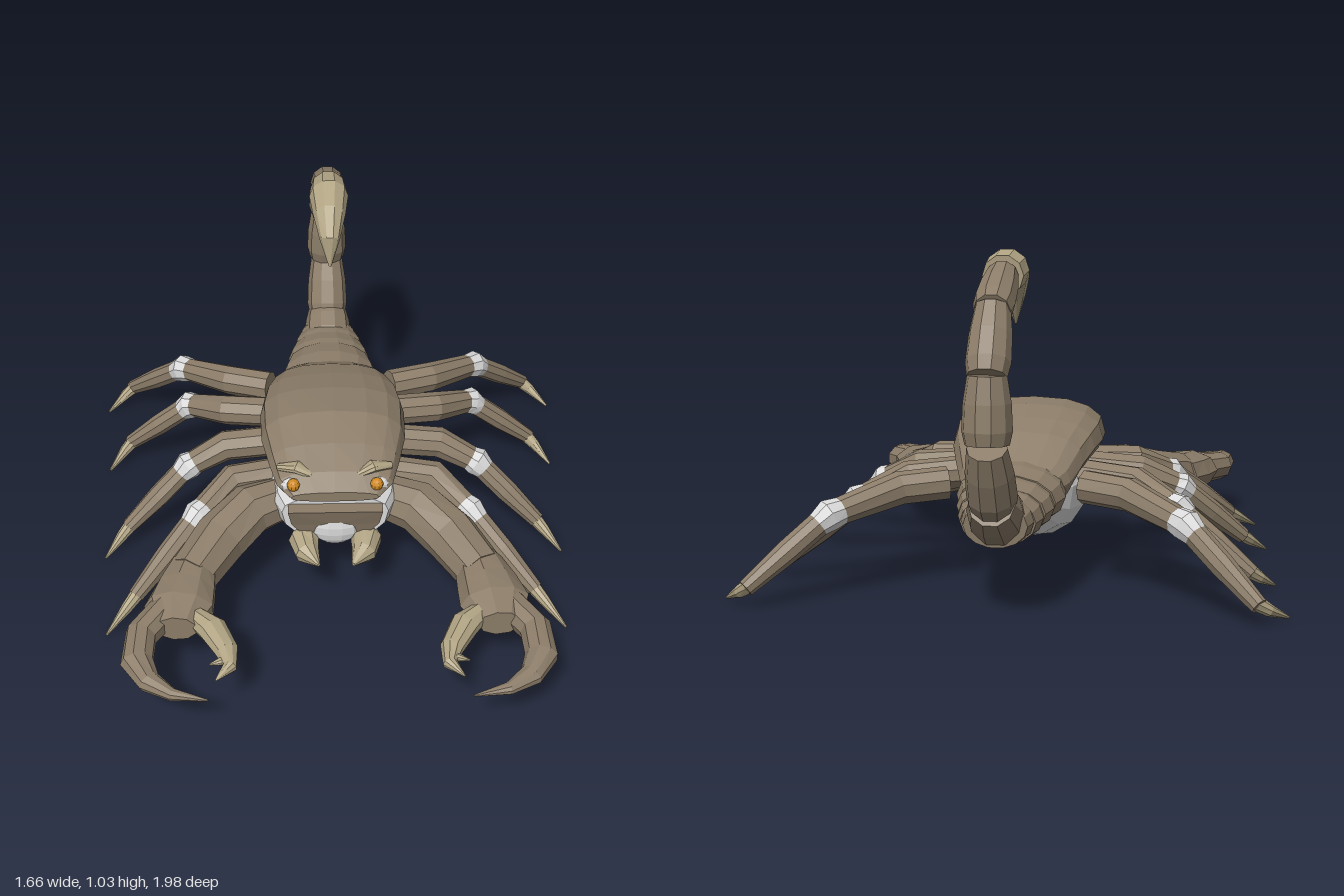
import * as THREE from 'three';

const V = (x, y, z) => new THREE.Vector3(x, y, z);
const material = (name, color) => {
  const m = new THREE.MeshStandardMaterial({ color, flatShading: true });
  m.name = name;
  return m;
};

// Skin matching rings of points, close both ends and face everything outwards
function loft(name, mat, rings) {
  const tris = [];
  const n = rings[0].length;
  for (let i = 0; i + 1 < rings.length; i++) {
    for (let j = 0; j < n; j++) {
      const k = (j + 1) % n;
      const [a, b, c, d] = [rings[i][j], rings[i][k], rings[i + 1][k], rings[i + 1][j]];
      tris.push([a, b, c], [a, c, d]);
    }
  }
  [rings[0], rings[rings.length - 1]].forEach((ring, end) => {
    const mid = ring.reduce((s, p) => s.add(p), V(0, 0, 0)).divideScalar(n);
    for (let j = 0; j < n; j++) {
      const k = (j + 1) % n;
      tris.push(end ? [mid, ring[j], ring[k]] : [mid, ring[k], ring[j]]);
    }
  });
  let volume = 0;
  for (const [a, b, c] of tris) volume += a.dot(b.clone().cross(c));
  if (volume < 0) tris.forEach((t) => t.reverse());
  const geo = new THREE.BufferGeometry().setFromPoints(tris.flat());
  geo.computeVertexNormals();
  const mesh = new THREE.Mesh(geo, mat);
  mesh.name = name;
  return mesh;
}

// Tapered limb along stations [x, y, z, half width, half height]
function limb(name, mat, stations, { sides = 9, sx = 1, upright = false } = {}) {
  const pts = stations.map((s) => V(s[0] * sx, s[1], s[2]));
  const rings = stations.map(([, , , w, h = w], i) => {
    const t = pts[Math.min(i + 1, pts.length - 1)].clone().sub(pts[Math.max(i - 1, 0)]).normalize();
    const side = upright ? V(1, 0, 0) : t.clone().cross(V(0, 1, 0)).normalize();
    const up = side.clone().cross(t);
    return Array.from({ length: sides }, (_, j) => {
      const a = (j / sides) * Math.PI * 2;
      return pts[i].clone().addScaledVector(side, Math.cos(a) * w).addScaledVector(up, Math.sin(a) * h);
    });
  });
  return loft(name, mat, rings);
}

// Rounded body from sections [z, half width, top, middle, bottom]
function hull(name, mat, sections, power, sides = 16) {
  const bend = (v) => Math.sign(v) * Math.pow(Math.abs(v), power);
  return loft(name, mat, sections.map(([z, w, top, mid, low]) =>
    Array.from({ length: sides }, (_, j) => {
      const a = (j / sides) * Math.PI * 2;
      const s = bend(Math.sin(a));
      return V(w * bend(Math.cos(a)), mid + s * (s > 0 ? top - mid : mid - low), z);
    })));
}

function ball(name, mat, pos, scale) {
  const mesh = new THREE.Mesh(new THREE.SphereGeometry(1, 10, 7), mat);
  mesh.name = name;
  mesh.position.set(...pos);
  mesh.scale.set(...scale);
  return mesh;
}

export function createModel() {
  const model = new THREE.Group();
  model.name = 'scorpion';
  const shell = material('brown shell', 0x8c7d69);
  const pale = material('pale grey skin', 0xdadada);
  const horn = material('tan horn', 0xb2a585);
  const amber = material('amber eye', 0xd08a22);

  // Back shell and belly
  model.add(hull('backShell', shell, [
    [0.315, 0.14, 0.39, 0.37, 0.355], [0.27, 0.185, 0.44, 0.39, 0.355], [0.18, 0.21, 0.485, 0.405, 0.35],
    [0.06, 0.235, 0.525, 0.41, 0.35], [-0.08, 0.24, 0.52, 0.41, 0.35], [-0.2, 0.225, 0.495, 0.4, 0.34],
    [-0.3, 0.2, 0.465, 0.37, 0.32], [-0.4, 0.17, 0.405, 0.33, 0.25], [-0.46, 0.13, 0.37, 0.31, 0.24],
  ], 0.8));
  model.add(hull('belly', pale, [
    [0.31, 0.17, 0.37, 0.31, 0.2], [0.25, 0.195, 0.38, 0.31, 0.17], [0.15, 0.205, 0.39, 0.32, 0.135],
    [0, 0.21, 0.39, 0.32, 0.112], [-0.2, 0.205, 0.38, 0.31, 0.112], [-0.32, 0.17, 0.37, 0.3, 0.14],
    [-0.41, 0.11, 0.35, 0.29, 0.21],
  ], 0.85));

  // Wedge-shaped mouth with a pale tongue
  const mouthRing = (zTop, zLow) => [V(-0.15, 0.342, zTop), V(0.15, 0.342, zTop), V(0.14, 0.28, (zTop + zLow) / 2),
    V(0.085, 0.2, zLow), V(-0.085, 0.2, zLow), V(-0.14, 0.28, (zTop + zLow) / 2)];
  model.add(loft('mouth', shell, [mouthRing(0.2, 0.2), mouthRing(0.355, 0.315)]));
  model.add(ball('tongue', pale, [0, 0.25, 0.32], [0.075, 0.06, 0.025]));

  // Overlapping abdomen rings
  [[-0.4, -0.56, 0.165, 0.3, 0.095], [-0.53, -0.66, 0.145, 0.29, 0.085],
    [-0.63, -0.74, 0.125, 0.28, 0.08], [-0.7, -0.79, 0.105, 0.28, 0.075]].forEach(([z0, z1, w, y, h], i) => {
    model.add(limb(`abdomenRing${i + 1}`, shell, [
      [0, y + 0.005, z0, w * 0.95, h * 0.95], [0, y, (z0 + z1) / 2, w, h], [0, y - 0.005, z1, w * 0.88, h * 0.88],
    ], { sides: 14, upright: true }));
  });

  // Tail segments from [y, z] to [y, z]
  [[0.275, -0.72, 0.35, -0.85, 0.085], [0.335, -0.82, 0.52, -0.925, 0.073], [0.53, -0.925, 0.72, -0.92, 0.071],
    [0.715, -0.92, 0.895, -0.815, 0.064], [0.885, -0.83, 0.97, -0.635, 0.059]].forEach(([y0, z0, y1, z1, r], i) => {
    const at = (t, k) => [0, y0 + (y1 - y0) * t, z0 + (z1 - z0) * t, r * k];
    model.add(limb(`tailSegment${i + 1}`, shell, [at(0, 0.88), at(0.2, 1), at(0.6, 0.95), at(1, 0.78)],
      { sides: 10, upright: true }));
  });
  model.add(limb('stinger', horn, [
    [0, 0.968, -0.63, 0.06, 0.06], [0, 0.978, -0.55, 0.066, 0.064], [0, 0.955, -0.47, 0.055, 0.05],
    [0, 0.9, -0.4, 0.035, 0.034], [0, 0.808, -0.373, 0.004],
  ], { sides: 10, upright: true }));

  // Legs: base, bend, knee, ankle, tip
  const legs = [
    [[0.17, 0.31, 0.1], [0.33, 0.305, 0.13], [0.44, 0.25, 0.24], [0.64, 0.075, 0.43], [0.73, 0.008, 0.54]],
    [[0.18, 0.32, -0.06], [0.36, 0.305, -0.055], [0.485, 0.25, -0.02], [0.69, 0.07, 0.08], [0.765, 0.008, 0.17]],
    [[0.18, 0.32, -0.22], [0.36, 0.305, -0.26], [0.495, 0.25, -0.37], [0.72, 0.065, -0.4], [0.79, 0.008, -0.31]],
    [[0.21, 0.315, -0.385], [0.35, 0.305, -0.44], [0.53, 0.25, -0.6], [0.74, 0.06, -0.755], [0.825, 0.008, -0.67]],
  ];

  for (const sx of [1, -1]) {
    const sideName = sx > 0 ? 'left' : 'right';
    const opts = { sx, sides: 9 };
    legs.forEach(([base, bend, knee, ankle, tip], i) => {
      const leg = new THREE.Group();
      leg.name = `${sideName}Leg${i + 1}`;
      const mix = (a, b, t) => a.map((v, k) => v + (b[k] - v) * t);
      leg.add(limb('upperLeg', shell, [[...base, 0.052], [...bend, 0.052], [...mix(bend, knee, 0.85), 0.042]], opts));
      leg.add(limb('knee', pale, [[...mix(bend, knee, 0.78), 0.04], [...knee, 0.049],
        [...mix(knee, ankle, 0.14), 0.037]], opts));
      leg.add(limb('lowerLeg', shell, [[...mix(knee, ankle, 0.06), 0.038], [...mix(knee, ankle, 0.5), 0.037],
        [...ankle, 0.026]], opts));
      leg.add(limb('footClaw', horn, [[...mix(knee, ankle, 0.95), 0.024], [...mix(ankle, tip, 0.3), 0.019],
        [...tip, 0.004]], opts));
      model.add(leg);
    });

    // Pincer arm with a fixed outer finger and a hinged inner finger
    const arm = new THREE.Group();
    arm.name = `${sideName}PincerArm`;
    arm.add(limb('arm', shell, [[0.14, 0.27, 0.17, 0.07], [0.27, 0.26, 0.23, 0.085], [0.37, 0.22, 0.33, 0.088],
      [0.455, 0.195, 0.48, 0.078]], opts));
    arm.add(limb('hand', shell, [[0.45, 0.195, 0.45, 0.078, 0.075], [0.47, 0.19, 0.54, 0.098, 0.075],
      [0.485, 0.19, 0.62, 0.11, 0.07], [0.49, 0.19, 0.71, 0.065, 0.045]], opts));
    arm.add(limb('outerFinger', shell, [[0.53, 0.19, 0.63, 0.05, 0.055], [0.595, 0.185, 0.73, 0.05, 0.05],
      [0.6, 0.18, 0.84, 0.05, 0.043], [0.56, 0.175, 0.915, 0.036, 0.03], [0.49, 0.172, 0.965, 0.02, 0.018],
      [0.385, 0.17, 0.99, 0.003]], opts));
    arm.add(limb('innerFinger', horn, [[0.44, 0.195, 0.66, 0.03, 0.035], [0.38, 0.195, 0.72, 0.045, 0.04],
      [0.335, 0.19, 0.81, 0.036, 0.033], [0.325, 0.185, 0.87, 0.022, 0.022], [0.365, 0.18, 0.92, 0.003]], opts));
    arm.add(limb('fingerTooth', horn, [[0.34, 0.188, 0.845, 0.016], [0.385, 0.185, 0.86, 0.003]], opts));
    model.add(arm);

    // Mouth fang, eye and brow
    model.add(limb(`${sideName}Fang`, horn, [[0.085, 0.205, 0.24, 0.035], [0.1, 0.2, 0.32, 0.05],
      [0.09, 0.195, 0.375, 0.04], [0.055, 0.19, 0.43, 0.006]], opts));
    model.add(ball(`${sideName}EyeSocket`, pale, [0.13 * sx, 0.392, 0.272], [0.045, 0.03, 0.028]));
    model.add(ball(`${sideName}Eye`, amber, [0.132 * sx, 0.406, 0.293], [0.021, 0.021, 0.021]));
    model.add(limb(`${sideName}Brow`, horn, [[0.075, 0.425, 0.268, 0.012], [0.12, 0.444, 0.25, 0.026, 0.016],
      [0.18, 0.43, 0.23, 0.012]], opts));
  }
  return model;
}
